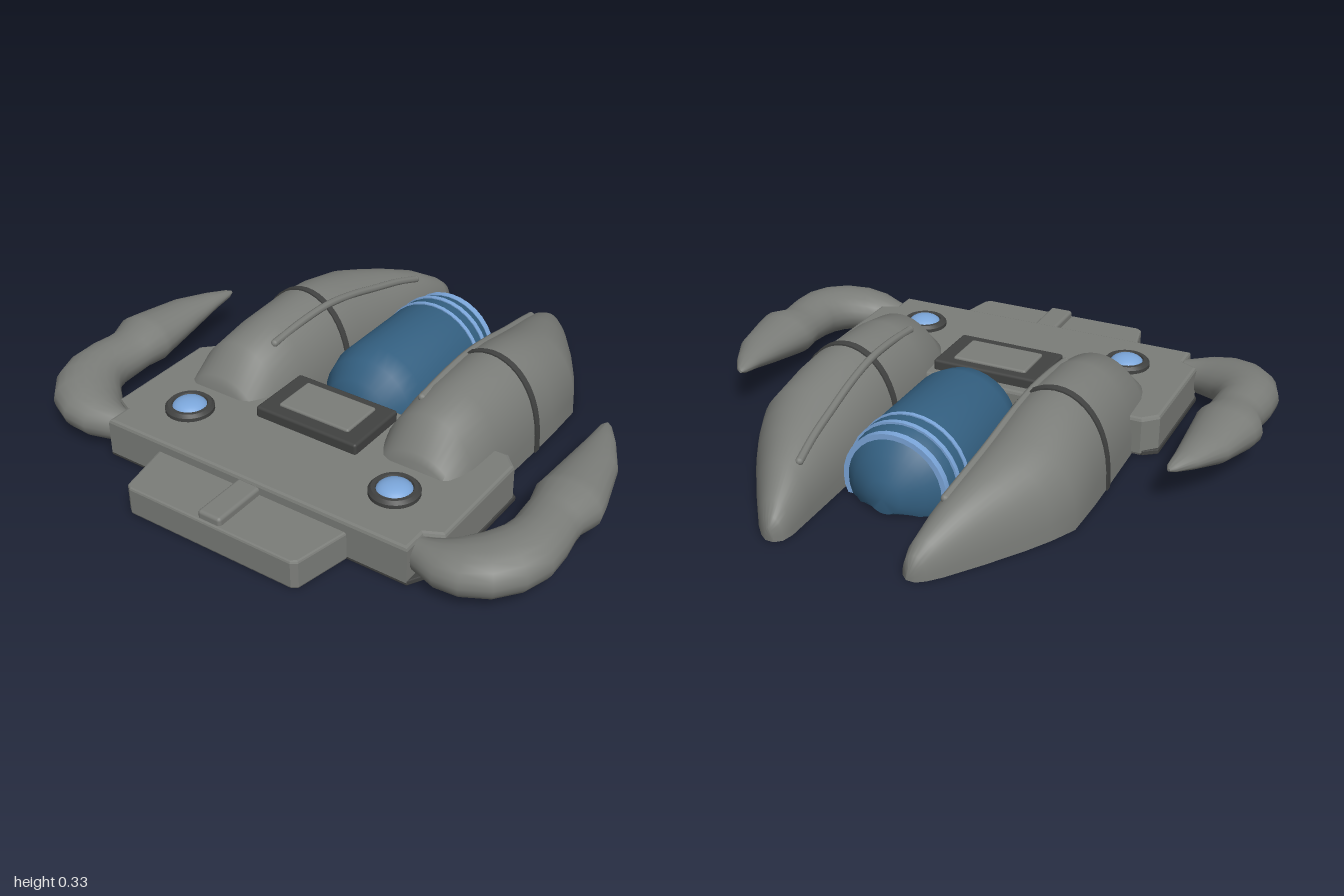
import * as THREE from 'three';
import { toCreasedNormals } from 'three/addons/utils/BufferGeometryUtils.js';
import { RoundedBoxGeometry } from 'three/addons/geometries/RoundedBoxGeometry.js';

const V = (x, y, z) => new THREE.Vector3(x, y, z);
const material = (name, color) => Object.assign(new THREE.MeshStandardMaterial({ color }), { name });

// Skin closed rings of points and cap both ends, facing outwards
function loft(rings, crease = 0.75) {
  const n = rings[0].length, tris = [];
  for (let i = 0; i < rings.length - 1; i++) {
    for (let j = 0; j < n; j++) {
      const k = (j + 1) % n;
      const [a, b, c, d] = [rings[i][j], rings[i][k], rings[i + 1][k], rings[i + 1][j]];
      tris.push([a, b, c], [a, c, d]);
    }
  }
  const first = rings[0], last = rings[rings.length - 1];
  for (let j = 1; j < n - 1; j++) {
    tris.push([first[0], first[j + 1], first[j]], [last[0], last[j], last[j + 1]]);
  }
  let volume = 0;
  for (const [a, b, c] of tris) volume += a.dot(V(0, 0, 0).crossVectors(b, c));
  if (volume < 0) tris.forEach(t => t.reverse());
  const geometry = new THREE.BufferGeometry().setFromPoints(tris.flat());
  return toCreasedNormals(geometry, crease);
}

// Slab with bevelled edges from a mirrored half outline of [x, z]
function slab(half, top, height, bevel) {
  const points = [...half, ...half.slice().reverse().map(([x, z]) => [-x, z])];
  const shape = new THREE.Shape(points.map(([x, z]) => new THREE.Vector2(x, z)));
  const geometry = new THREE.ExtrudeGeometry(shape, {
    depth: height - 2 * bevel, bevelEnabled: true, bevelThickness: bevel,
    bevelSize: bevel, bevelOffset: -bevel, bevelSegments: 2,
  });
  return geometry.rotateX(Math.PI / 2).translate(0, top - bevel, 0);
}

// Round body lying along z, cut flat at the ground; profile is [radius, z]
function lyingLathe(profile) {
  const geometry = new THREE.LatheGeometry(profile.map(p => new THREE.Vector2(...p)), 32);
  geometry.rotateX(Math.PI / 2).translate(0, 0.065, 0);
  const p = geometry.attributes.position;
  for (let i = 0; i < p.count; i++) p.setY(i, Math.max(0, p.getY(i)));
  return toCreasedNormals(geometry, 0.6);
}

// Pod sections: z, inner x, outer x, height
const podRows = [
  [0.35, 0.25, 0.565, 0.175], [0.335, 0.235, 0.57, 0.2], [0.24, 0.21, 0.577, 0.288],
  [0.09, 0.2, 0.58, 0.318], [-0.14, 0.2, 0.585, 0.328], [-0.26, 0.2, 0.587, 0.316],
  [-0.43, 0.2, 0.583, 0.278], [-0.52, 0.2, 0.54, 0.252], [-0.61, 0.2, 0.487, 0.225],
  [-0.73, 0.2, 0.406, 0.18], [-0.84, 0.2, 0.326, 0.115], [-0.88, 0.21, 0.29, 0.08],
  [-0.9, 0.232, 0.262, 0.05],
];
function podSection(z) {
  const i = Math.max(1, podRows.findIndex(r => r[0] <= z));
  const [a, b] = [podRows[i - 1], podRows[i]];
  const t = (a[0] - z) / (a[0] - b[0]);
  return a.map((v, k) => v + (b[k] - v) * t);
}
function podRing([z, inner, outer, h], side, grow = 0) {
  const c = (inner + outer) / 2, w = (outer - inner) / 2 + grow;
  return Array.from({ length: 23 }, (_, i) => {
    const t = Math.PI * i / 22;
    const rise = Math.pow(Math.max(0, Math.sin(t)), 0.8);
    return V(side * (c - w * Math.cos(t)), (h + grow) * rise, z);
  });
}
// Raised rib following the pod surface
function ribPath(side) {
  const points = [[0.305, 0.15], [0.302, 0], [0.298, -0.15], [0.292, -0.3], [0.283, -0.45],
    [0.272, -0.58], [0.258, -0.69]].map(([x, z]) => {
    const [, inner, outer, h] = podSection(z);
    const u = (x - (inner + outer) / 2) / ((outer - inner) / 2);
    return V(side * x, h * Math.pow(1 - u * u, 0.4), z);
  });
  return new THREE.CatmullRomCurve3(points);
}

// Arm sections: x, z, y, half width, half height
const armRows = [
  [0.58, 0.62, 0.08, 0.045, 0.055], [0.63, 0.625, 0.085, 0.06, 0.06], [0.69, 0.626, 0.092, 0.09, 0.07],
  [0.75, 0.613, 0.1, 0.11, 0.077], [0.81, 0.58, 0.107, 0.118, 0.082], [0.853, 0.53, 0.112, 0.117, 0.085],
  [0.878, 0.47, 0.115, 0.11, 0.086], [0.884, 0.4, 0.118, 0.1, 0.084], [0.878, 0.33, 0.121, 0.097, 0.078],
  [0.877, 0.28, 0.124, 0.098, 0.075], [0.882, 0.21, 0.13, 0.118, 0.086], [0.879, 0.17, 0.132, 0.112, 0.081],
  [0.863, 0, 0.145, 0.083, 0.056], [0.835, -0.12, 0.155, 0.046, 0.031], [0.812, -0.195, 0.16, 0.02, 0.014],
  [0.807, -0.215, 0.161, 0.005, 0.005],
];
function armRings(side) {
  return armRows.map(([x, z, y, w, h], i) => {
    const a = armRows[Math.max(0, i - 1)], b = armRows[Math.min(armRows.length - 1, i + 1)];
    const across = new THREE.Vector2(b[1] - a[1], a[0] - b[0]).normalize();
    return Array.from({ length: 20 }, (_, j) => {
      const t = Math.PI * 2 * j / 20, s = w * Math.cos(t);
      return V(side * (x + across.x * s), y + h * Math.sin(t), z + across.y * s);
    });
  });
}

export function createModel() {
  const model = new THREE.Group();
  model.name = 'hoverCraft';
  const hull = material('hullGrey', 0x7b7d79);
  const trim = material('darkTrim', 0x414241);
  const tank = material('tankBlue', 0x335f80);
  const glow = material('lightBlue', 0x7ba6da);
  const add = (name, geometry, mat, x = 0, y = 0, z = 0) => {
    const mesh = new THREE.Mesh(geometry, mat);
    mesh.name = name;
    mesh.position.set(x, y, z);
    model.add(mesh);
    return mesh;
  };

  // Deck and stepped front bumper
  add('deck', slab([[0.61, 0.1], [0.66, 0.15], [0.66, 0.57], [0.6, 0.6], [0.6, 0.69]], 0.145, 0.145, 0.012), hull);
  add('baseSkirt', slab([[0.62, 0.105], [0.665, 0.14], [0.665, 0.575], [0.6, 0.69]], 0.02, 0.018, 0.003), trim);
  add('bumper', slab([[0.39, 0.66], [0.38, 0.69], [0.34, 0.88], [0.32, 0.895]], 0.105, 0.105, 0.008), hull);
  add('bumperRidge', new RoundedBoxGeometry(0.09, 0.05, 0.21, 2, 0.012), hull, 0, 0.107, 0.78);

  // Raised control panel
  add('panelFrame', new RoundedBoxGeometry(0.41, 0.06, 0.25, 2, 0.01), trim, 0, 0.153, 0.265);
  add('panelScreen', new RoundedBoxGeometry(0.285, 0.03, 0.165, 2, 0.008), hull, 0, 0.177, 0.26);

  // Central tank with its stripes
  add('tank', lyingLathe([[0, -0.625], [0.06, -0.615], [0.13, -0.575], [0.17, -0.54], [0.187, -0.515],
    [0.2, -0.45], [0.2, -0.05], [0.18, 0.02], [0.13, 0.085], [0.07, 0.108], [0, 0.113]]), tank);
  for (const [r, z, w] of [[0.189, -0.528, 0.024], [0.202, -0.468, 0.018], [0.204, -0.41, 0.016]]) {
    add('tankStripe', lyingLathe([[r - 0.03, z - w / 2], [r, z - w / 2], [r, z + w / 2], [r - 0.03, z + w / 2]]), glow);
  }

  for (const side of [1, -1]) {
    const label = side > 0 ? 'left' : 'right';
    // Domed pod, band and rib
    add(label + 'Pod', loft(podRows.map(row => podRing(row, side))), hull);
    add(label + 'PodBand', loft([-0.136, -0.162].map(z => podRing(podSection(z), side, 0.006))), trim);
    add(label + 'PodRib', new THREE.TubeGeometry(ribPath(side), 32, 0.014, 8), hull);
    for (const end of [0, 1]) {
      const p = ribPath(side).getPoint(end);
      add(label + 'RibEnd', new THREE.SphereGeometry(0.014, 10, 8), hull, p.x, p.y, p.z);
    }

    // Curved arm ending in a blade
    add(label + 'Arm', loft(armRings(side), 0.9), hull);

    // Deck lamp
    const bezel = [[0.085, 0], [0.085, 0.015], [0.075, 0.026], [0.062, 0.026], [0.056, 0.012]];
    const ring = new THREE.LatheGeometry(bezel.map(p => new THREE.Vector2(...p)), 28);
    add(label + 'LampBezel', toCreasedNormals(ring, 0.5), trim, side * 0.418, 0.143, 0.482);
    const lens = new THREE.SphereGeometry(0.062, 24, 8, 0, Math.PI * 2, 0, Math.PI / 2).scale(1, 0.5, 1);
    add(label + 'LampLens', lens, glow, side * 0.418, 0.153, 0.482);
  }
  return model;
}
